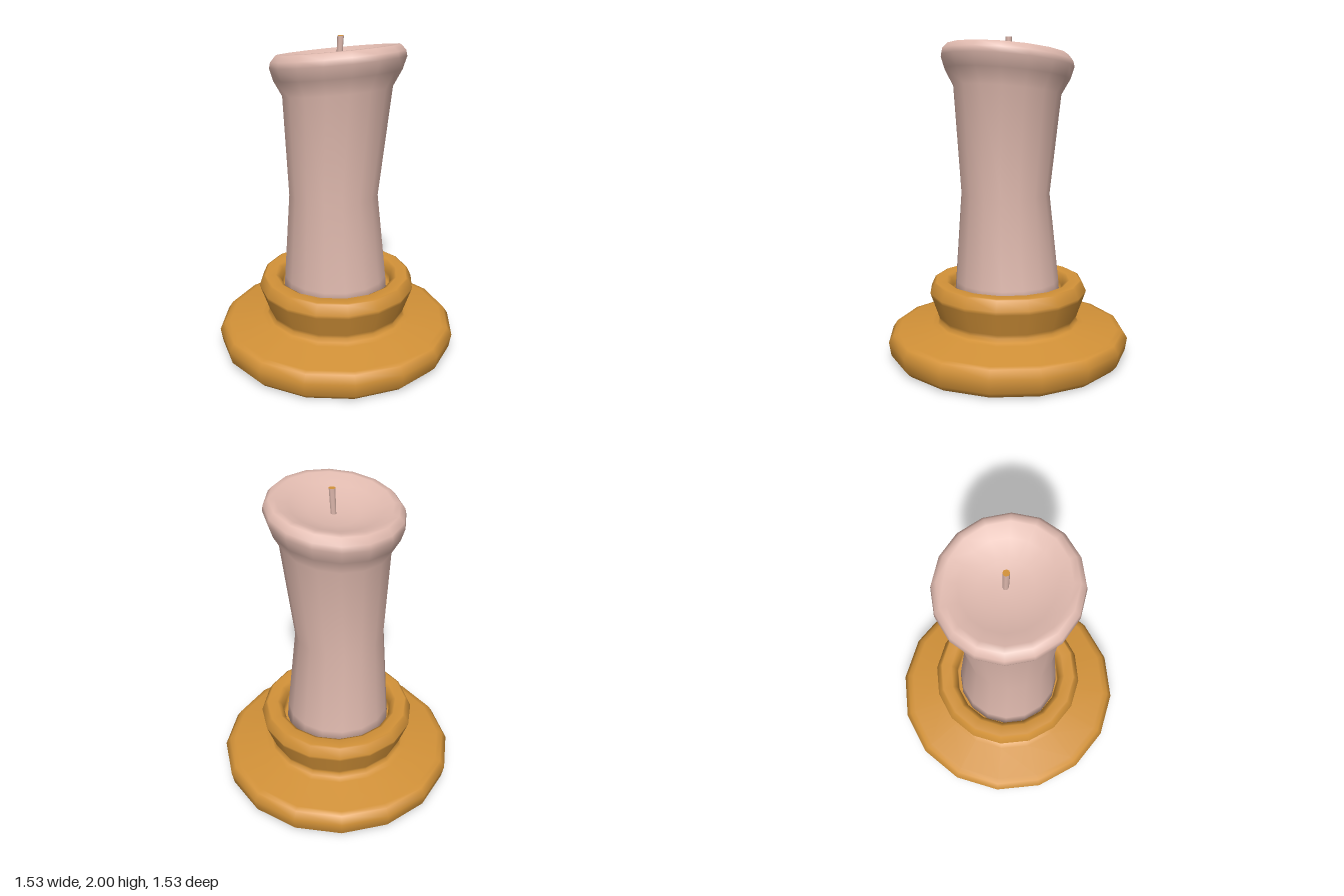
import * as THREE from 'three';
import { mergeVertices } from 'three/addons/utils/BufferGeometryUtils.js';

const SIDES = 16;

function lathe(profile, phiStart = 0) {
  return new THREE.LatheGeometry(profile.map(([r, y]) => new THREE.Vector2(r, y)), SIDES, phiStart);
}

// Weld the seam and recompute smooth normals after vertices were moved
function smooth(geometry) {
  geometry.deleteAttribute('uv');
  geometry.deleteAttribute('normal');
  const welded = mergeVertices(geometry, 1e-4);
  welded.computeVertexNormals();
  return welded;
}

export function createModel() {
  const gold = new THREE.MeshStandardMaterial({ color: 0xd39238 });
  gold.name = 'gold';
  const wax = new THREE.MeshStandardMaterial({ color: 0xdfb9ae });
  wax.name = 'pink wax';

  const model = new THREE.Group();
  model.name = 'candle';

  // Holder: wide foot, waisted cup and recess; close rings keep the bevels tight
  const holder = new THREE.Mesh(lathe([
    [0, 0], [0.69, 0], [0.72, 0.005], [0.752, 0.04], [0.766, 0.125], [0.735, 0.172], [0.70, 0.178],
    [0.49, 0.212], [0.455, 0.22], [0.437, 0.24], [0.445, 0.265], [0.492, 0.4], [0.5, 0.425],
    [0.473, 0.485], [0.46, 0.49], [0.395, 0.49], [0.37, 0.475], [0.355, 0.43], [0.35, 0.38], [0, 0.38],
  ]), gold);
  holder.name = 'holder';
  model.add(holder);

  // Candle body: radius, height, sideways drift in x and z for each ring
  const rings = [
    [0, 0.37, -0.008, 0], [0.338, 0.37, -0.008, 0], [0.328, 0.49, -0.008, 0],
    [0.279, 1.04, -0.022, 0.003], [0.333, 1.68, 0.003, 0.008], [0.385, 1.775, 0.005, 0.008],
    [0.409, 1.85, 0.006, 0.009], [0.402, 1.885, 0.006, 0.009], [0.372, 1.92, 0.007, 0.008],
    [0.335, 1.922, 0.007, 0.008], [0.26, 1.89, 0.01, 0.006], [0.15, 1.86, 0.015, 0.004],
    [0, 1.85, 0.02, 0.002],
  ];
  const bodyGeometry = lathe(rings, 0.05);
  const pos = bodyGeometry.attributes.position;
  for (let i = 0; i < pos.count; i++) {
    const [, y, dx, dz] = rings[i % rings.length];
    const tilt = THREE.MathUtils.clamp((y - 1.04) / 0.64, 0, 1);
    const x = pos.getX(i), z = pos.getZ(i);
    pos.setXYZ(i, x + dx, y + tilt * (0.13 * z + 0.03 * x), z + dz);
  }
  const body = new THREE.Mesh(smooth(bodyGeometry), wax);
  body.name = 'candleBody';
  model.add(body);

  // Wick: thin, leaning slightly, with a coloured tip
  const wickGeometry = new THREE.CylinderGeometry(0.02, 0.017, 0.16, 8, 2);
  const w = wickGeometry.attributes.position;
  for (let i = 0; i < w.count; i++) {
    const t = w.getY(i) / 0.16 + 0.5;
    w.setX(i, w.getX(i) + 0.018 + 0.005 * t);
    w.setZ(i, w.getZ(i) + 0.002 + 0.009 * t);
    w.setY(i, w.getY(i) + 1.92);
  }
  const wick = new THREE.Mesh(wickGeometry, [wax, gold, wax]);
  wick.name = 'wick';
  model.add(wick);

  return model;
}
